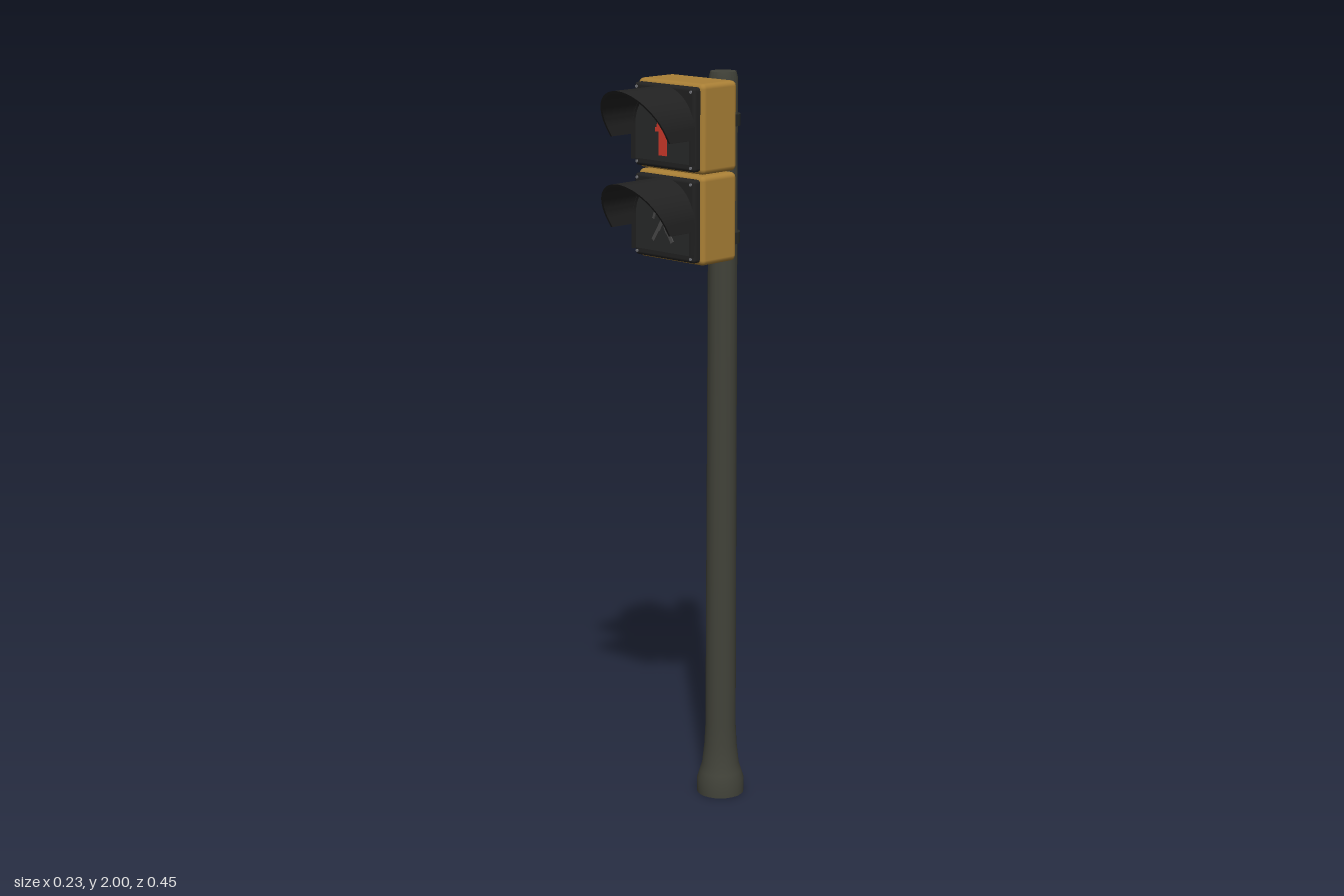
import * as THREE from 'three';
import { toCreasedNormals } from 'three/addons/utils/BufferGeometryUtils.js';
import { RoundedBoxGeometry } from 'three/addons/geometries/RoundedBoxGeometry.js';

const paint = (name, color) => {
  const m = new THREE.MeshStandardMaterial({ color });
  m.name = name;
  return m;
};

const POLE_Z = -0.163;
const ARCH_Y = -0.002; // centre of the visor arch, relative to its lamp box

// Upside-down U: half circle of radius r with legs reaching down to y = foot.
function archPath(path, r, foot) {
  path.moveTo(r, foot);
  path.lineTo(r, ARCH_Y);
  path.absarc(0, ARCH_Y, r, 0, Math.PI, false);
  path.lineTo(-r, foot);
  return path;
}

// The same U as a band of thickness t.
function archBand(r, foot, t) {
  const s = archPath(new THREE.Shape(), r, foot);
  s.lineTo(-(r - t), foot);
  s.lineTo(-(r - t), ARCH_Y);
  s.absarc(0, ARCH_Y, r - t, Math.PI, 0, true);
  s.lineTo(r - t, foot);
  return s;
}

// Extrudes a shape from z = back to z = front(y), so the front can be cut at a slant.
function slantExtrude(shape, back, front) {
  const g = new THREE.ExtrudeGeometry(shape, { depth: 1, bevelEnabled: false, curveSegments: 20 });
  const p = g.attributes.position;
  for (let i = 0; i < p.count; i++) p.setZ(i, p.getZ(i) < 0.5 ? back : front(p.getY(i)));
  return toCreasedNormals(g, 0.6);
}

export function createModel() {
  const poleMat = paint('pole grey green', 0x414239);
  const yellow = paint('housing yellow', 0xaa8036);
  const black = paint('visor black', 0x222222);
  const lensMat = paint('lens dark', 0x292a2a);
  const red = paint('signal red', 0xd23a2c);
  const dim = paint('unlit grey', 0x4a4a4a);
  const steel = paint('bracket steel', 0x74757a);
  const clampMat = paint('clamp dark grey', 0x282a28);

  const model = new THREE.Group();
  model.name = 'pedestrianSignal';
  const add = (parent, name, geometry, material, x = 0, y = 0, z = 0) => {
    const mesh = new THREE.Mesh(geometry, material);
    mesh.name = name;
    mesh.position.set(x, y, z);
    parent.add(mesh);
    return mesh;
  };

  // Pole with flared foot and bevelled top
  const profile = [[0, 0], [0.065, 0], [0.065, 0.04], [0.058, 0.062], [0.051, 0.085], [0.045, 0.14],
    [0.042, 0.2], [0.039, 1.5], [0.038, 1.985], [0.034, 2], [0, 2]].map(([r, y]) => new THREE.Vector2(r, y));
  add(model, 'pole', toCreasedNormals(new THREE.LatheGeometry(profile, 24), 0.5), poleMat, 0, 0, POLE_Z);

  // Clamps around the pole and the brackets that carry the housings
  for (const y of [1.875, 1.565]) {
    add(model, 'clamp', new THREE.CylinderGeometry(0.046, 0.046, 0.03, 20), clampMat, 0, y, POLE_Z);
    const bracket = add(model, 'bracket', new THREE.CylinderGeometry(0.027, 0.027, 0.06, 16), steel, 0, y + 0.014, -0.115);
    bracket.rotation.x = Math.PI / 2;
    bracket.scale.z = 0.6;
  }

  // Lamp unit: housing, door, lens, collar, visor and corner screws
  function lampUnit(name, y) {
    const unit = new THREE.Group();
    unit.name = name;
    unit.position.y = y;
    model.add(unit);
    add(unit, 'housing', new RoundedBoxGeometry(0.234, 0.231, 0.13, 2, 0.014), yellow, 0, 0, -0.028);
    add(unit, 'door', new RoundedBoxGeometry(0.214, 0.214, 0.03, 2, 0.009), black, 0, 0, 0.044);
    add(unit, 'lens', slantExtrude(archPath(new THREE.Shape(), 0.1, -0.088), 0.057, () => 0.061), lensMat);
    add(unit, 'visorCollar', slantExtrude(archBand(0.107, -0.09, 0.007), 0.056, () => 0.07), black);
    add(unit, 'visor', slantExtrude(archBand(0.107, -0.025, 0.006), 0.062,
      (py) => 0.145 + (py + 0.025) * 0.625), black);
    for (const sx of [-1, 1]) for (const sy of [-1, 1]) {
      const screw = add(unit, 'screw', new THREE.CylinderGeometry(0.004, 0.004, 0.006, 10), steel,
        sx * 0.096, sy * 0.096, 0.059);
      screw.rotation.x = Math.PI / 2;
    }
    return unit;
  }

  // Flat pictogram made of a head disc and straight limbs [x1, y1, x2, y2, width]
  function pictogram(parent, name, material, head, limbs) {
    const figure = new THREE.Group();
    figure.name = name;
    figure.position.z = 0.0625;
    parent.add(figure);
    const disc = add(figure, 'head', new THREE.CylinderGeometry(head[2], head[2], 0.004, 16), material, head[0], head[1]);
    disc.rotation.x = Math.PI / 2;
    for (const [x1, y1, x2, y2, w] of limbs) {
      const limb = add(figure, 'limb', new THREE.BoxGeometry(w, Math.hypot(x2 - x1, y2 - y1), 0.004),
        material, (x1 + x2) / 2, (y1 + y2) / 2);
      limb.rotation.z = Math.atan2(x1 - x2, y2 - y1);
    }
  }

  const stop = lampUnit('stopLamp', 1.875);
  pictogram(stop, 'standingFigure', red, [0, 0.058, 0.012], [
    [0, 0.05, 0, -0.015, 0.024],
    [-0.007, -0.01, -0.007, -0.073, 0.014], [0.006, -0.01, 0.006, -0.073, 0.014],
    [-0.012, 0.038, -0.017, -0.008, 0.008], [0.012, 0.038, 0.017, -0.008, 0.008],
    [-0.026, -0.008, 0.025, -0.002, 0.011],
  ]);

  const walk = lampUnit('walkLamp', 1.641);
  pictogram(walk, 'walkingFigure', dim, [-0.004, 0.057, 0.011], [
    [-0.003, 0.045, 0.002, -0.01, 0.02],
    [0, -0.005, -0.016, -0.032, 0.012], [-0.016, -0.03, -0.035, -0.06, 0.01],
    [0.002, -0.005, 0.017, -0.035, 0.012], [0.017, -0.034, 0.034, -0.06, 0.01],
    [-0.006, 0.038, -0.026, 0.014, 0.008], [-0.026, 0.016, -0.034, -0.004, 0.007],
    [0.006, 0.038, 0.022, 0.012, 0.008], [0.022, 0.013, 0.036, 0.004, 0.007],
  ]);

  return model;
}
